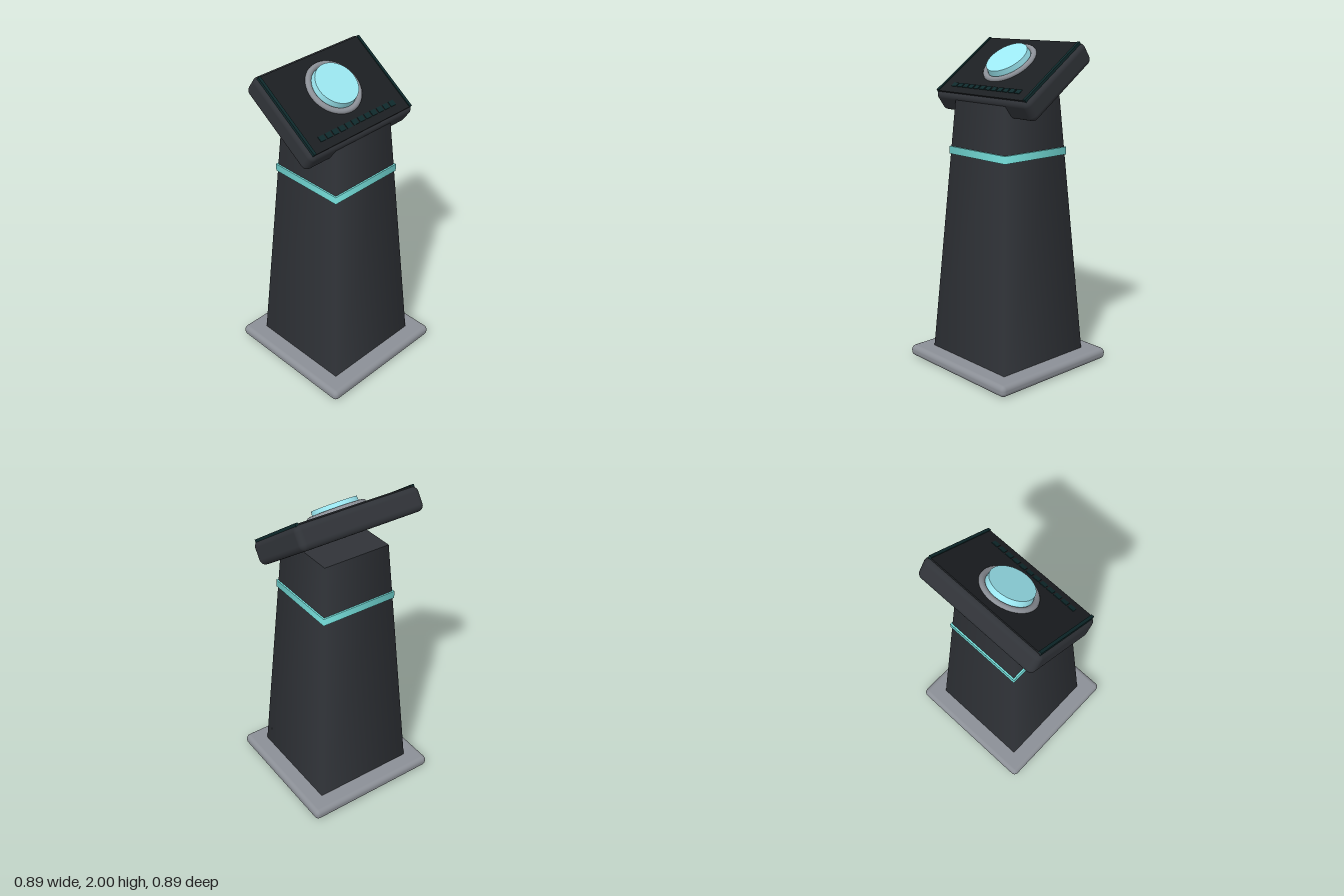
import * as THREE from 'three';
import { RoundedBoxGeometry } from 'three/addons/geometries/RoundedBoxGeometry.js';

const paint = (color) => new THREE.MeshStandardMaterial({ color });

function add(parent, name, geometry, material, x = 0, y = 0, z = 0) {
  const mesh = new THREE.Mesh(geometry, material);
  mesh.name = name;
  mesh.position.set(x, y, z);
  parent.add(mesh);
  return mesh;
}

// Square tapered column with softly shaded corners; sizes are half widths
function squareColumn(top, bottom, height) {
  return new THREE.CylinderGeometry(top * Math.SQRT2, bottom * Math.SQRT2, height, 4, 1, false, Math.PI / 4);
}

export function createModel() {
  const model = new THREE.Group();
  model.name = 'buttonPedestal';

  const shell = paint(0x303338);
  const metal = paint(0x8b8f96);
  const screen = paint(0x1c1f22);
  const darkTeal = paint(0x0f2a2c);
  const glow = paint(0x78e4e0);
  const buttonBlue = paint(0x9ce8f2);

  // Foot plate, column and light band
  add(model, 'basePlate', new RoundedBoxGeometry(0.89, 0.07, 0.89, 4, 0.03), metal, 0, 0.035, 0);
  add(model, 'column', squareColumn(0.22, 0.338, 1.677), shell, 0, 0.8415, 0);
  add(model, 'lightBand', squareColumn(0.252, 0.252, 0.046), glow, 0, 1.346, 0);

  // Tilted console head; local y is the normal of its face
  const head = new THREE.Group();
  head.name = 'consoleHead';
  head.position.set(0, 1.785, -0.033);
  head.rotation.x = THREE.MathUtils.degToRad(35);
  model.add(head);

  add(head, 'consoleCase', new RoundedBoxGeometry(0.82, 0.143, 0.573, 5, 0.036), shell);
  add(head, 'screenPanel', new THREE.BoxGeometry(0.78, 0.02, 0.53), screen, 0, 0.067, 0);

  // Trim strips on both edges of the panel
  for (const side of [-1, 1]) {
    add(head, 'edgeStrip', new THREE.BoxGeometry(0.018, 0.02, 0.53), darkTeal, side * 0.384, 0.073, 0);
  }

  // Row of small keys
  const keyGeometry = new THREE.BoxGeometry(0.04, 0.012, 0.033);
  for (let i = 0; i < 12; i++) {
    add(head, 'key', keyGeometry, darkTeal, (i - 5.5) * 0.051, 0.075, 0.199);
  }

  // Large push button in its ring
  const ring = add(head, 'buttonRing', new THREE.TorusGeometry(0.157, 0.018, 12, 48), metal, 0, 0.079, -0.036);
  ring.rotation.x = Math.PI / 2;
  add(head, 'pushButton', new THREE.CylinderGeometry(0.135, 0.141, 0.05, 48), buttonBlue, 0, 0.099, -0.036);

  return model;
}
